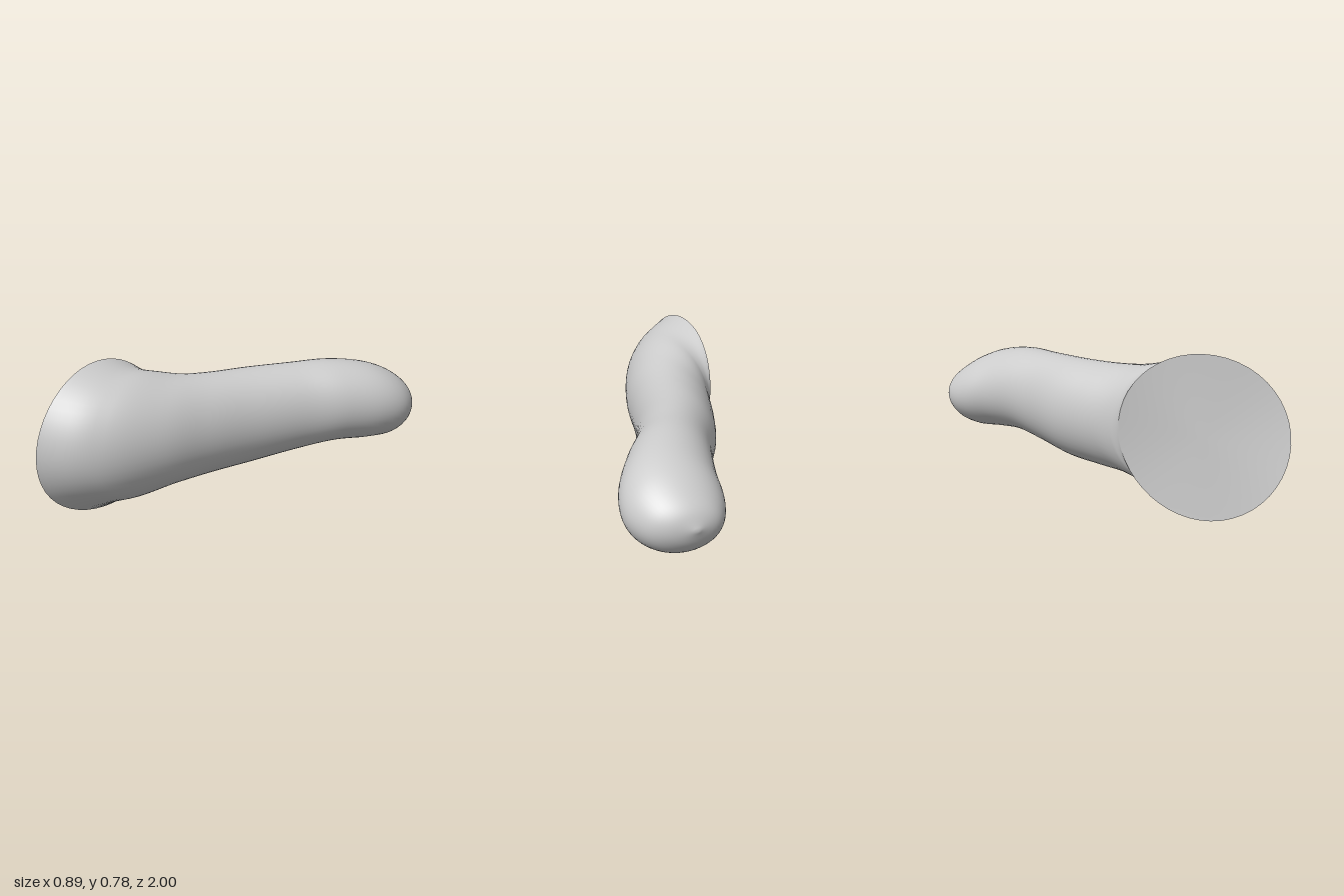
import * as THREE from 'three';

// Cross-sections from the cut end to the round tip:
// [left x, left z, right x, right z, top y, bottom y]
const SECTIONS = [
  [-0.42, 0.19, -0.42, 1.0, 0.78, 0.0],
  [-0.405, 0.17, -0.25, 0.88, 0.735, 0.06],
  [-0.385, 0.12, -0.14, 0.73, 0.71, 0.085],
  [-0.36, 0.04, -0.05, 0.5, 0.675, 0.12],
  [-0.32, -0.07, 0.01, 0.26, 0.658, 0.135],
  [-0.25, -0.23, 0.085, 0.01, 0.655, 0.15],
  [-0.15, -0.4, 0.2, -0.25, 0.655, 0.185],
  [-0.08, -0.56, 0.32, -0.44, 0.655, 0.212],
  [-0.035, -0.7, 0.42, -0.62, 0.63, 0.205],
  [-0.01, -0.82, 0.45, -0.76, 0.585, 0.2],
  [0.03, -0.91, 0.41, -0.88, 0.525, 0.23],
  [0.09, -0.97, 0.33, -0.955, 0.465, 0.295],
  [0.2, -1.0, 0.2, -1.0, 0.385, 0.385],
];
const SIDES = 48;
const STEPS = 72;

// Smooth curves through the two flanks and through the top and bottom heights
const curve = (pick) => new THREE.CatmullRomCurve3(
  SECTIONS.map((s) => new THREE.Vector3(...pick(s))), false, 'catmullrom', 0.5);
const leftFlank = curve((s) => [s[0], 0, s[1]]);
const rightFlank = curve((s) => [s[2], 0, s[3]]);
const heights = curve((s) => [s[4], s[5], 0]);

// One point on the skin: u runs along the body, angle runs around it
function skinPoint(u, angle) {
  const l = leftFlank.getPoint(u), r = rightFlank.getPoint(u), h = heights.getPoint(u);
  const c = Math.cos(angle), s = Math.sin(angle);
  // Slight saddle warp of the cut rim, fading out along the body
  const fade = Math.max(0, 1 - u * 8);
  const warp = fade * (0.01 * Math.cos(2 * angle) + 0.02 * Math.sin(2 * angle));
  return [
    (l.x + r.x) / 2 + c * (r.x - l.x) / 2 + warp,
    (h.x + h.y) / 2 + s * (h.x - h.y) / 2,
    (l.z + r.z) / 2 + c * (r.z - l.z) / 2,
  ];
}

function build(positions, index) {
  const g = new THREE.BufferGeometry();
  g.setAttribute('position', new THREE.Float32BufferAttribute(positions, 3));
  g.setIndex(index);
  g.computeVertexNormals();
  return g;
}

// Closed tube of rings ending in a rounded tip
function bodyGeometry() {
  const pos = [], idx = [];
  for (let i = 0; i < STEPS; i++) {
    for (let j = 0; j < SIDES; j++) {
      pos.push(...skinPoint(i / STEPS, (j / SIDES) * Math.PI * 2));
    }
  }
  const tip = STEPS * SIDES;
  pos.push(...skinPoint(1, 0));
  for (let i = 0; i < STEPS; i++) {
    for (let j = 0; j < SIDES; j++) {
      const k = (j + 1) % SIDES;
      const a = i * SIDES + j, b = i * SIDES + k;
      if (i === STEPS - 1) idx.push(a, tip, b);
      else idx.push(a, a + SIDES, b, b, a + SIDES, b + SIDES);
    }
  }
  return build(pos, idx);
}

// Fan that closes the wide cut end
function capGeometry() {
  const pos = [-0.42, 0.39, 0.595], idx = [];
  for (let j = 0; j < SIDES; j++) {
    pos.push(...skinPoint(0, (j / SIDES) * Math.PI * 2));
    idx.push(0, 1 + j, 1 + ((j + 1) % SIDES));
  }
  return build(pos, idx);
}

export function createModel() {
  const group = new THREE.Group();
  const material = new THREE.MeshStandardMaterial({ color: 0xcccccc, side: THREE.DoubleSide });
  const add = (name, geometry) => {
    const mesh = new THREE.Mesh(geometry, material);
    mesh.name = name;
    group.add(mesh);
  };
  add('body', bodyGeometry());
  add('cutEnd', capGeometry());
  return group;
}
